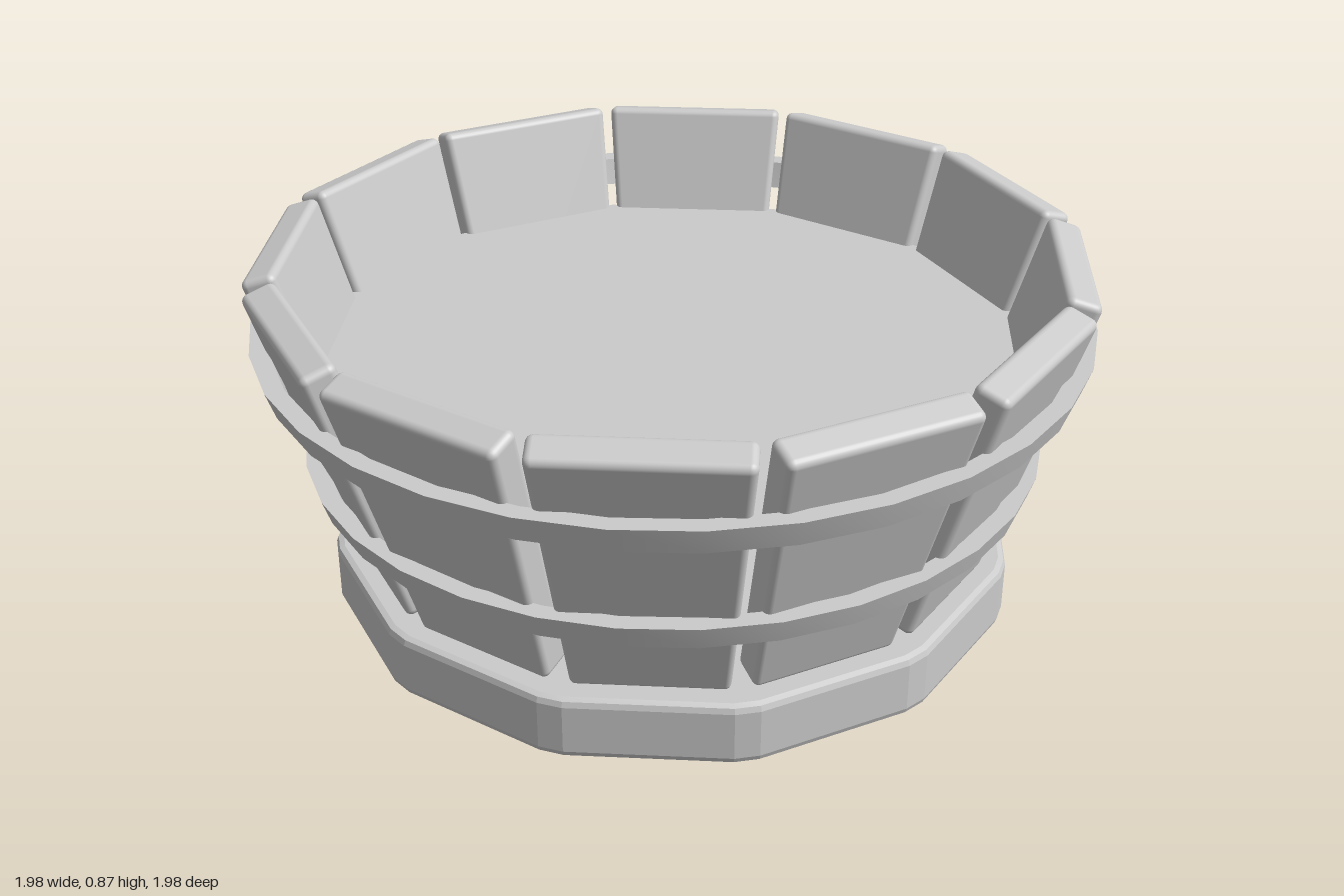
import * as THREE from 'three';
import { RoundedBoxGeometry } from 'three/addons/geometries/RoundedBoxGeometry.js';
import { toCreasedNormals } from 'three/addons/utils/BufferGeometryUtils.js';

const SIDES = 12;
const STEP = (Math.PI * 2) / SIDES;

const material = new THREE.MeshStandardMaterial({ color: 0xcccccc });
const shellMaterial = new THREE.MeshStandardMaterial({ color: 0xcccccc, side: THREE.DoubleSide });

function lathe(profile, segments) {
  return new THREE.LatheGeometry(profile.map(([r, y]) => new THREE.Vector2(r, y)), segments);
}

// One plank: a rounded board, narrower at the bottom, leaning outwards
function staveGeometry() {
  const length = 0.722, topWidth = 0.46, bottomWidth = 0.352;
  const geometry = new RoundedBoxGeometry(topWidth, length, 0.085, 3, 0.018);
  const p = geometry.attributes.position;
  for (let i = 0; i < p.count; i++) {
    const t = p.getY(i) / length + 0.5;
    p.setX(i, p.getX(i) * THREE.MathUtils.lerp(bottomWidth / topWidth, 1, t));
  }
  geometry.rotateX(0.3);
  geometry.translate(0, 0.513, 0.824);
  return geometry;
}

// Twelve-sided foot, open underneath, with narrow chamfers at its corners
function baseGeometry() {
  const geometry = lathe(
    [[0.815, 0], [0.828, 0.005], [0.833, 0.018], [0.833, 0.137], [0.828, 0.15], [0.815, 0.155], [0, 0.155]],
    SIDES * 2
  );
  const p = geometry.attributes.position;
  for (let i = 0; i < p.count; i++) {
    const r = Math.hypot(p.getX(i), p.getZ(i));
    const k = Math.round(Math.atan2(p.getX(i), p.getZ(i)) / (STEP / 2) + SIDES * 2);
    const angle = Math.floor(k / 2) * STEP + (k % 2 ? 0.035 : -0.035);
    p.setX(i, r * Math.sin(angle));
    p.setZ(i, r * Math.cos(angle));
  }
  return toCreasedNormals(geometry, 0.2);
}

// Flared metal band with a rectangular section
function hoopGeometry(bottom, top, rBottom, rTop) {
  const t = 0.045;
  const profile = [[rBottom - t, bottom], [rBottom, bottom], [rTop, top], [rTop - t, top], [rBottom - t, bottom]];
  return toCreasedNormals(lathe(profile, 32), 0.5);
}

export function createModel() {
  const group = new THREE.Group();
  group.name = 'woodenTub';
  const add = (name, geometry, mat = material, parent = group) => {
    const mesh = new THREE.Mesh(geometry, mat);
    mesh.name = name;
    parent.add(mesh);
    return mesh;
  };

  add('base', baseGeometry(), shellMaterial);

  // Ring of staves, with the seams on the axes
  const staves = new THREE.Group();
  staves.name = 'staves';
  group.add(staves);
  const stave = staveGeometry();
  for (let i = 0; i < SIDES; i++) {
    add('stave', stave, material, staves).rotation.y = (i + 0.5) * STEP;
  }

  add('lowerHoop', hoopGeometry(0.345, 0.405, 0.868, 0.888));
  add('upperHoop', hoopGeometry(0.645, 0.71, 0.968, 0.99));

  // Flat filling inside the tub
  const filling = add('filling', new THREE.CircleGeometry(0.855, SIDES), shellMaterial);
  filling.rotation.x = -Math.PI / 2;
  filling.position.y = 0.61;

  return group;
}
